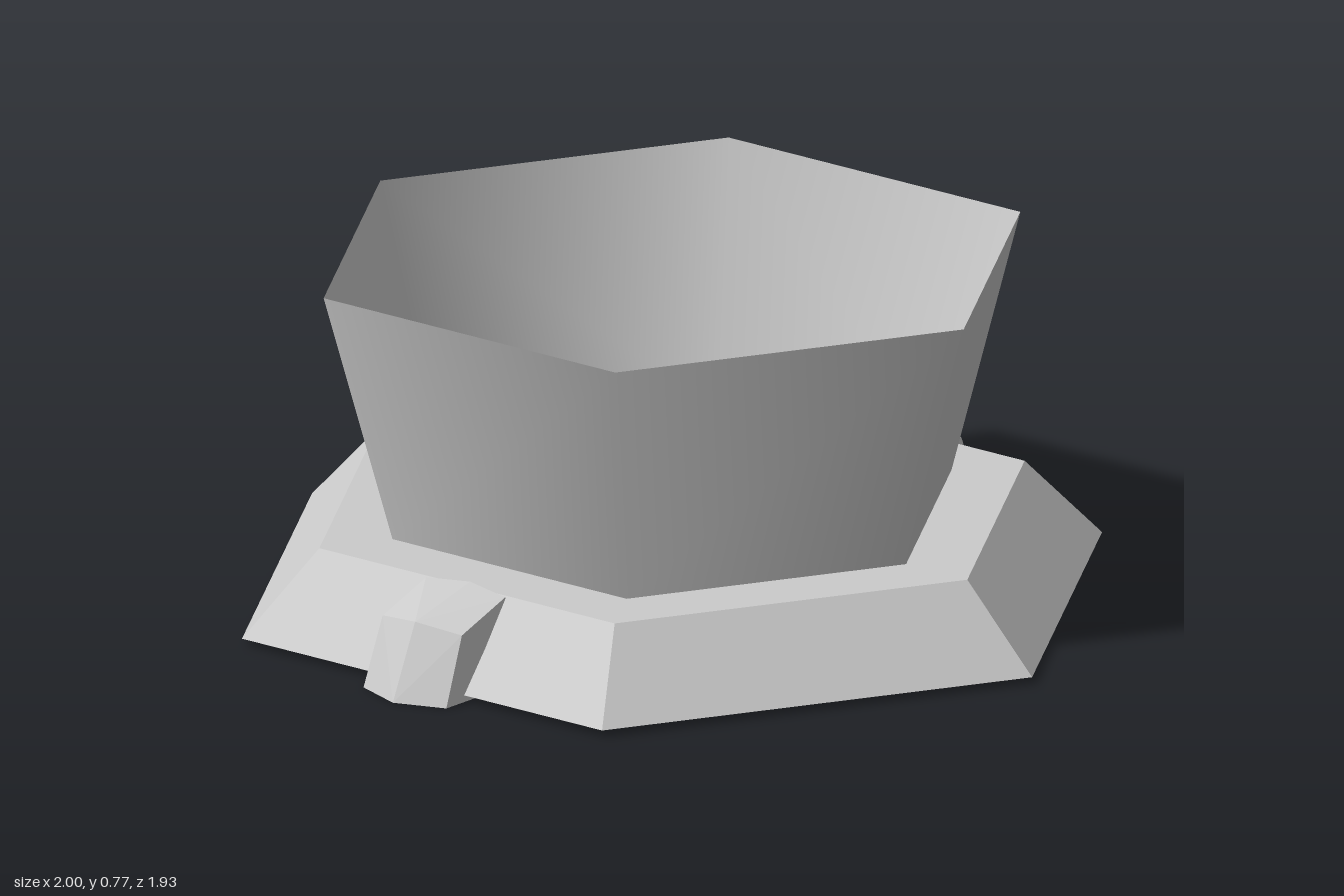
import * as THREE from 'three';
import { ConvexGeometry } from 'three/addons/geometries/ConvexGeometry.js';

export function createModel() {
  const model = new THREE.Group();
  const flat = new THREE.MeshStandardMaterial({ color: 0xcccccc, flatShading: true });
  const smooth = new THREE.MeshStandardMaterial({ color: 0xcccccc, side: THREE.DoubleSide });

  // Six-sided ring or slab with corners on the x axis
  const hexagon = (name, rTop, rBottom, y0, y1, open, material) => {
    const geometry = new THREE.CylinderGeometry(rTop, rBottom, y1 - y0, 6, 1, open);
    geometry.rotateY(Math.PI / 6);
    geometry.translate(0, (y0 + y1) / 2, 0);
    const mesh = new THREE.Mesh(geometry, material);
    mesh.name = name;
    model.add(mesh);
  };

  // Bevelled plinth, whose top is also the floor of the bowl
  hexagon('base', 0.82, 1, 0.015, 0.2, false, flat);
  // Thin flared wall, open at the top
  hexagon('bowlWall', 0.81, 0.65, 0.2, 0.77, true, smooth);

  // Clip sections: half width, side y, side z, ridge y, ridge z
  const sections = [
    [0.13, 0, 0.63, 0, 0.63],
    [0.115, 0, 0.925, 0, 0.967],
    [0.11, 0.15, 0.865, 0.165, 0.89],
    [0.11, 0.198, 0.715, 0.207, 0.7],
  ];
  const points = sections.flatMap(([w, y, z, ridgeY, ridgeZ]) => [
    new THREE.Vector3(-w, y, z),
    new THREE.Vector3(0, ridgeY, ridgeZ),
    new THREE.Vector3(w, y, z),
  ]);
  const clipGeometry = new ConvexGeometry(points);

  // Clips over the front and back edges of the base
  ['frontClip', 'backClip'].forEach((name, i) => {
    const clip = new THREE.Mesh(clipGeometry, flat);
    clip.name = name;
    clip.rotation.y = i * Math.PI;
    model.add(clip);
  });

  return model;
}
